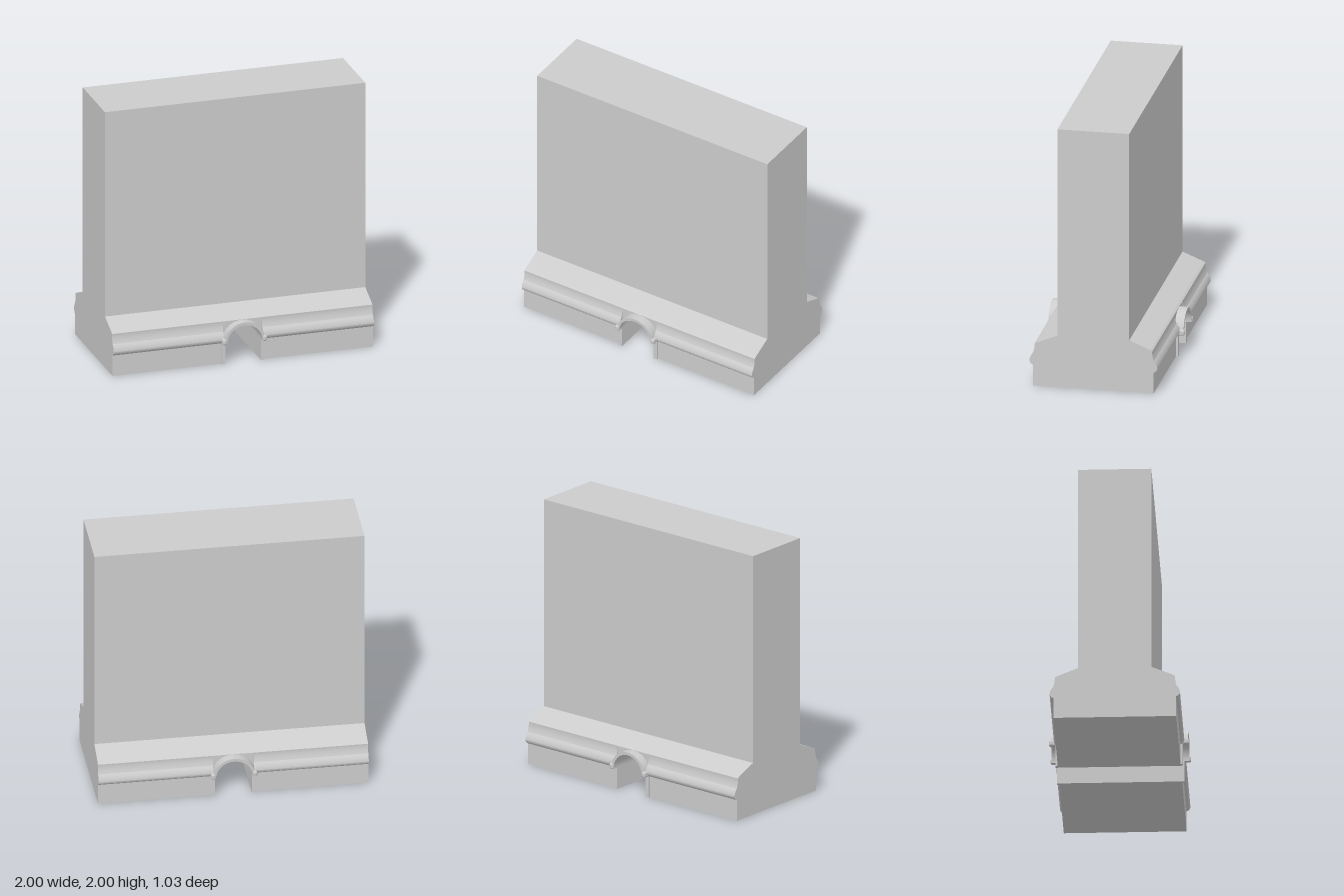
import * as THREE from 'three';
import { RoundedBoxGeometry } from 'three/addons/geometries/RoundedBoxGeometry.js';

const R = 0.136, SPRING = 0.165;

export function createModel() {
  const group = new THREE.Group();
  const material = new THREE.MeshStandardMaterial({ color: 0xcccccc });
  const add = (parent, name, geometry) => {
    const mesh = new THREE.Mesh(geometry, material);
    mesh.name = name;
    parent.add(mesh);
    return mesh;
  };
  // Extrude a front-facing shape between two depths
  const extrudeZ = (shape, z0, z1) =>
    new THREE.ExtrudeGeometry(shape, { depth: z1 - z0, bevelEnabled: false, curveSegments: 20 }).translate(0, 0, z0);

  // Block outline with an arched opening cut up from its lower edge
  const archedShape = (halfWidth, bottom, top) => {
    const s = new THREE.Shape();
    s.moveTo(R, bottom);
    s.lineTo(halfWidth, bottom);
    s.lineTo(halfWidth, top);
    s.lineTo(-halfWidth, top);
    s.lineTo(-halfWidth, bottom);
    s.lineTo(-R, bottom);
    s.lineTo(-R, SPRING);
    s.absarc(0, SPRING, R, Math.PI, 0, true);
    return s;
  };

  // Main wall with its drain passage
  add(group, 'wall', extrudeZ(archedShape(1, 0, 2), -0.268, 0.268));

  // Plinth section: sloped cap, rounded moulding and upright foot
  const plinth = new THREE.Shape();
  plinth.moveTo(0.268, 0);
  plinth.lineTo(0.45, 0);
  plinth.lineTo(0.45, 0.16);
  plinth.quadraticCurveTo(0.475, 0.17, 0.478, 0.195);
  plinth.quadraticCurveTo(0.475, 0.225, 0.452, 0.25);
  plinth.quadraticCurveTo(0.437, 0.29, 0.44, 0.325);
  plinth.lineTo(0.425, 0.335);
  plinth.lineTo(0.268, 0.4);

  // Cap running over the arch
  const cap = new THREE.Shape();
  cap.moveTo(0.268, 0.315);
  cap.lineTo(0.44, 0.315);
  cap.lineTo(0.44, 0.325);
  cap.lineTo(0.425, 0.335);
  cap.lineTo(0.268, 0.4);

  const extrudeX = (shape, x0, x1) =>
    new THREE.ExtrudeGeometry(shape, { depth: x1 - x0, bevelEnabled: false, curveSegments: 6 })
      .rotateY(-Math.PI / 2).translate(x1, 0, 0);

  // Raised arch moulding
  const ring = new THREE.Shape();
  ring.moveTo(R, SPRING);
  ring.lineTo(0.16, SPRING);
  ring.absarc(0, SPRING, 0.158, 0, Math.PI, false);
  ring.lineTo(-R, SPRING);
  ring.absarc(0, SPRING, R, Math.PI, 0, true);

  // The same plinth on the front and the back
  for (const side of ['front', 'back']) {
    const base = new THREE.Group();
    base.name = side + 'Plinth';
    if (side === 'back') base.rotation.y = Math.PI;
    group.add(base);
    add(base, 'plinthLeft', extrudeX(plinth, 0.15, 1));
    add(base, 'plinthRight', extrudeX(plinth, -1, -0.15));
    add(base, 'archCap', extrudeX(cap, -0.15, 0.15));
    add(base, 'archSurround', extrudeZ(archedShape(0.15, 0, 0.32), 0.268, 0.438));
    add(base, 'archMoulding', extrudeZ(ring, 0.43, 0.505));
    for (const s of [-1, 1]) {
      // Jamb and the small rounded impost on it
      add(base, 'jamb', new THREE.BoxGeometry(0.03, 0.18, 0.06)).position.set(s * 0.151, 0.09, 0.436);
      add(base, 'impost', new RoundedBoxGeometry(0.034, 0.045, 0.09, 3, 0.014)).position.set(s * 0.154, 0.185, 0.47);
    }
  }
  return group;
}
